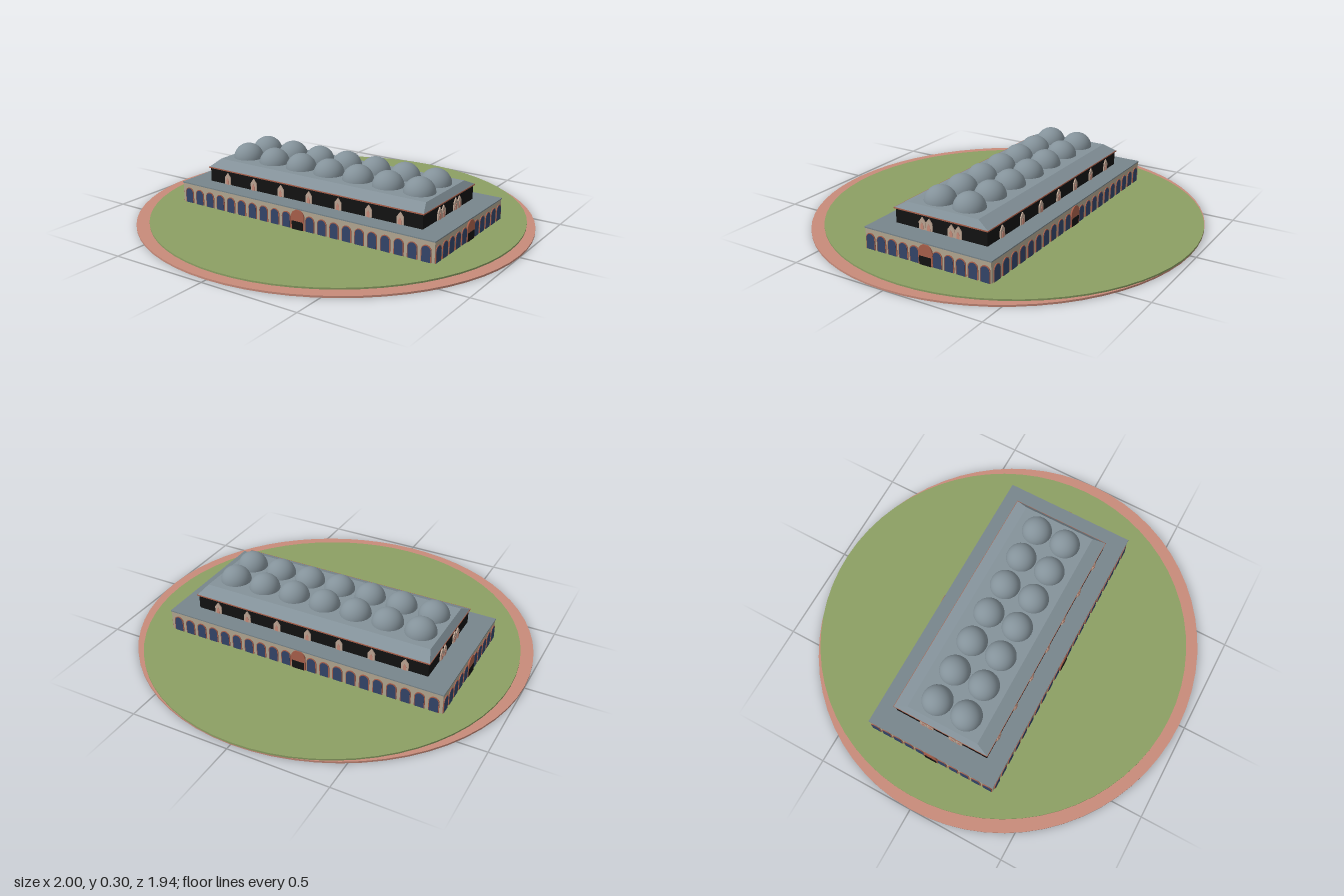
import * as THREE from 'three';

const mat = (name, color) => {
  const m = new THREE.MeshStandardMaterial({ color });
  m.name = name;
  return m;
};

export function createModel() {
  const M = {
    path: mat('path pink', 0xc88b7a),
    grass: mat('grass green', 0x8c9f63),
    stone: mat('wall beige', 0xb3a791),
    slate: mat('terrace grey', 0x78868c),
    roof: mat('roof grey', 0x84929a),
    glass: mat('window blue', 0x34456a),
    brick: mat('terracotta', 0xa9604b),
    black: mat('dark wall', 0x121212),
    niche: mat('niche beige', 0xbfa694),
  };
  const model = new THREE.Group();
  const CZ = -0.03; // the building and lawn sit slightly behind the middle

  const add = (parent, name, geo, material, x = 0, y = 0, z = 0) => {
    const mesh = new THREE.Mesh(geo, material);
    mesh.name = name;
    mesh.position.set(x, y, z);
    parent.add(mesh);
    return mesh;
  };
  const slab = (name, w, d, y0, y1, material) =>
    add(model, name, new THREE.BoxGeometry(w, y1 - y0, d), material, 0, (y0 + y1) / 2, CZ);

  // Round-headed panel standing on y = 0, facing +z
  const arch = (w, h, depth) => {
    const r = w / 2;
    const s = new THREE.Shape();
    s.moveTo(-r, 0);
    s.lineTo(r, 0);
    s.lineTo(r, h - r);
    s.absarc(0, h - r, r, 0, Math.PI, false);
    s.lineTo(-r, 0);
    return new THREE.ExtrudeGeometry(s, { depth, bevelEnabled: false, curveSegments: 10 });
  };
  // Small gabled panel
  const gable = (w, h, depth) => {
    const s = new THREE.Shape([
      new THREE.Vector2(-w / 2, 0), new THREE.Vector2(w / 2, 0),
      new THREE.Vector2(w / 2, h * 0.6), new THREE.Vector2(w * 0.25, h * 0.8),
      new THREE.Vector2(0, h), new THREE.Vector2(-w * 0.25, h * 0.8),
      new THREE.Vector2(-w / 2, h * 0.6),
    ]);
    return new THREE.ExtrudeGeometry(s, { depth, bevelEnabled: false });
  };

  // Ground: oval path and round lawn
  const path = add(model, 'path', new THREE.CylinderGeometry(1, 1, 0.009, 64), M.path, 0, 0.0045, 0);
  path.scale.z = 0.97;
  add(model, 'lawn', new THREE.CylinderGeometry(0.943, 0.943, 0.009, 64), M.grass, 0, 0.0125, CZ);

  // Lower storey and its terrace
  const HX = 0.737, HZ = 0.342, FLOOR = 0.017;
  slab('lowerWalls', HX * 2, HZ * 2, FLOOR, 0.117, M.stone);
  slab('terrace', HX * 2 + 0.006, HZ * 2 + 0.006, 0.117, 0.123, M.slate);

  // Upper storey with a thin cornice
  const UX = 0.625, UZ = 0.251;
  slab('upperWalls', UX * 2, UZ * 2, 0.123, 0.196, M.black);
  slab('cornice', UX * 2 + 0.014, UZ * 2 + 0.014, 0.194, 0.2, M.brick);

  // Hipped roof: a box whose top is drawn inwards
  const roofGeo = new THREE.BoxGeometry(UX * 2 + 0.01, 0.031, UZ * 2 + 0.01);
  const p = roofGeo.attributes.position;
  for (let i = 0; i < p.count; i++) {
    if (p.getY(i) > 0) {
      p.setX(i, p.getX(i) - Math.sign(p.getX(i)) * 0.025);
      p.setZ(i, p.getZ(i) - Math.sign(p.getZ(i)) * 0.065);
    }
  }
  roofGeo.computeVertexNormals();
  add(model, 'roof', roofGeo, M.roof, 0, 0.2155, CZ);

  // Two rows of domes
  const PITCH = 0.17, ROW = 0.08;
  const domeGeo = new THREE.SphereGeometry(0.078, 32, 12, 0, Math.PI * 2, 0, Math.PI / 2);
  for (let i = -3; i <= 3; i++) {
    for (const s of [-1, 1]) add(model, 'dome', domeGeo, M.roof, i * PITCH, 0.226, CZ + s * ROW);
  }

  // Facades: arched windows, central doorway, niches on the upper wall
  const frameGeo = arch(0.052, 0.08, 0.004);
  const paneGeo = arch(0.044, 0.076, 0.005);
  const portalGeo = arch(0.076, 0.1, 0.007);
  const doorGeo = new THREE.BoxGeometry(0.064, 0.042, 0.009);
  const nicheGeo = gable(0.036, 0.06, 0.006);
  const nicheDoorGeo = gable(0.016, 0.034, 0.008);

  const facade = (name, angle, reach, upperReach, bays, pitch, niches) => {
    const g = new THREE.Group();
    g.name = name;
    g.position.z = CZ;
    g.rotation.y = angle;
    for (let i = -bays; i <= bays; i++) {
      if (i === 0) continue;
      add(g, 'windowFrame', frameGeo, M.brick, i * pitch, FLOOR, reach);
      add(g, 'windowPane', paneGeo, M.glass, i * pitch, FLOOR, reach);
    }
    add(g, 'portal', portalGeo, M.brick, 0, FLOOR, reach);
    add(g, 'door', doorGeo, M.black, 0, FLOOR + 0.021, reach + 0.0045);
    for (const x of niches) {
      add(g, 'niche', nicheGeo, M.niche, x, 0.125, upperReach);
      add(g, 'nicheDoor', nicheDoorGeo, M.path, x, 0.125, upperReach);
    }
    model.add(g);
  };
  const longNiches = [-3, -2, -1, 0, 1, 2, 3].map((i) => i * PITCH);
  const shortNiches = [-1, 1].flatMap((s) => [s * ROW - 0.019, s * ROW + 0.019]);
  facade('frontFacade', 0, HZ, UZ, 10, 0.0695, longNiches);
  facade('backFacade', Math.PI, HZ, UZ, 10, 0.0695, longNiches);
  facade('leftFacade', Math.PI / 2, HX, UX, 5, 0.0625, shortNiches);
  facade('rightFacade', -Math.PI / 2, HX, UX, 5, 0.0625, shortNiches);

  return model;
}
